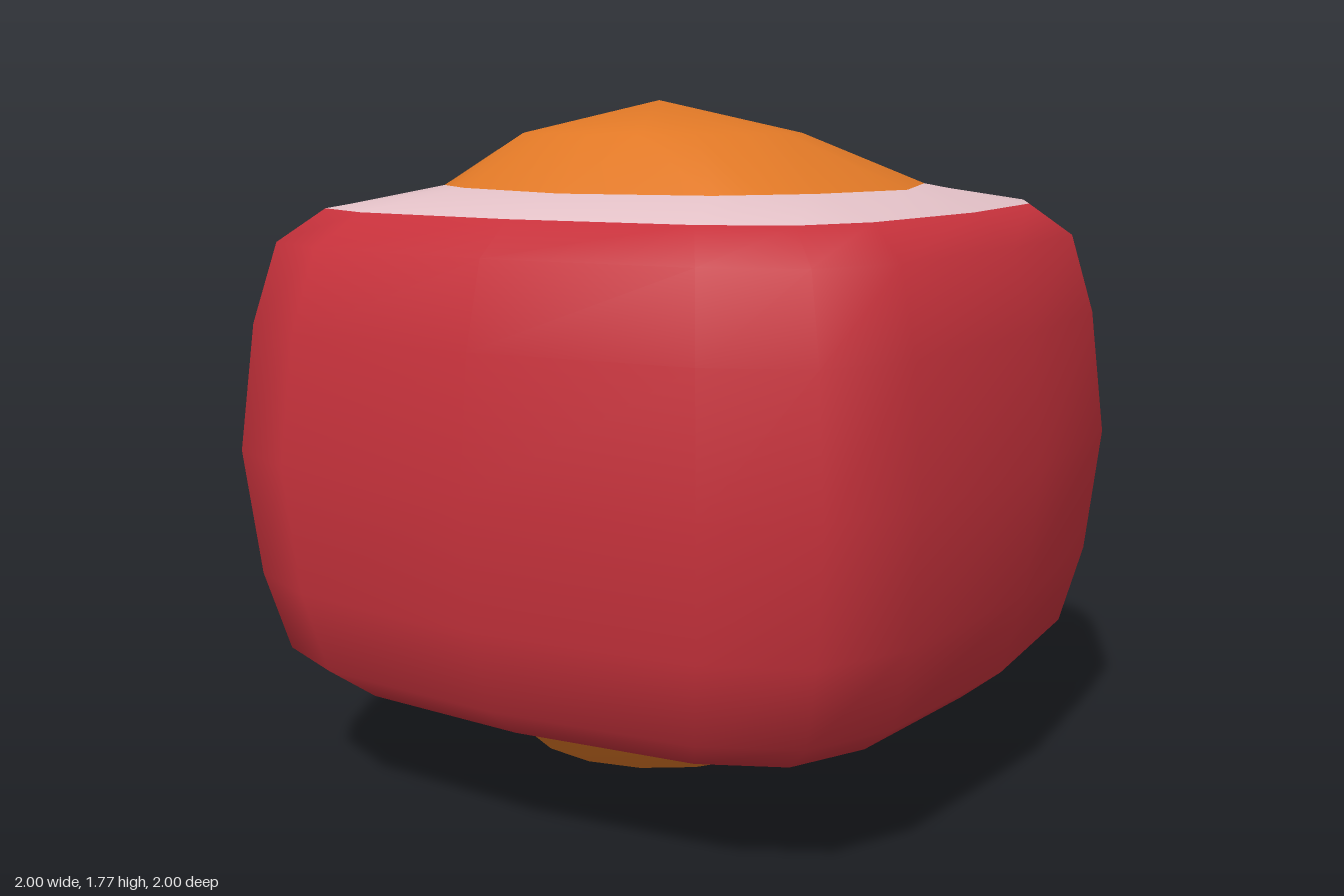
import * as THREE from 'three';
import { mergeVertices } from 'three/addons/utils/BufferGeometryUtils.js';

const MID = 0.883; // height of the widest ring
const SIDES = 16;

// Rounded square, starting at the front and turning toward +x
function squareRing(half, y) {
  const quarter = [[0, 1], [0.59, 0.95], [0.835, 0.835], [0.95, 0.59]];
  const ring = [];
  for (let q = 0; q < 4; q++) {
    for (let [x, z] of quarter) {
      for (let k = 0; k < q; k++) [x, z] = [z, -x];
      ring.push([x * half, y, z * half]);
    }
  }
  return ring;
}

// Round ring with an off-centre middle
function roundRing(radius, y, cx, cz) {
  return Array.from({ length: SIDES }, (_, i) => {
    const a = (i / SIDES) * Math.PI * 2;
    return [cx + Math.sin(a) * radius, y, cz + Math.cos(a) * radius];
  });
}

// Uneven edge where the filling meets the rice
const EDGE = [
  [0, 0.6], [0.37, 0.51], [0.45, 0.405], [0.53, 0.3],
  [0.62, -0.02], [0.49, -0.41], [0.41, -0.483], [0.33, -0.555],
  [0, -0.65], [-0.34, -0.55], [-0.425, -0.495], [-0.51, -0.44],
  [-0.62, -0.04], [-0.545, 0.35], [-0.468, 0.408], [-0.39, 0.465],
];
const edgeRing = (y) => EDGE.map(([x, z]) => [x, y, z]);

// Smooth skin over rings listed from bottom to top; slots gives the material of each band
function loft(rings, slots) {
  const geometry = new THREE.BufferGeometry();
  geometry.setAttribute('position', new THREE.Float32BufferAttribute(rings.flat(2), 3));
  const index = [];
  for (let r = 0; r < rings.length - 1; r++) {
    for (let i = 0; i < SIDES; i++) {
      const j = (i + 1) % SIDES;
      const a = r * SIDES + i, b = r * SIDES + j;
      index.push(a, b, b + SIDES, a, b + SIDES, a + SIDES);
    }
    if (slots) geometry.addGroup(r * SIDES * 6, SIDES * 6, slots[r]);
  }
  geometry.setIndex(index);
  const merged = mergeVertices(geometry);
  merged.computeVertexNormals();
  return merged;
}

export function createModel() {
  const group = new THREE.Group();
  const material = (name, color) => {
    const m = new THREE.MeshStandardMaterial({ color });
    m.name = name;
    return m;
  };
  const red = material('red wrap', 0xc8323c);
  const pink = material('pale rice', 0xe3c1c7);
  const orange = material('orange filling', 0xe07826);

  const add = (name, geometry, mat) => {
    const mesh = new THREE.Mesh(geometry, mat);
    mesh.name = name;
    group.add(mesh);
  };

  // Wrap with a rice border at both ends
  const profile = [[0.805, -0.613], [0.91, -0.53], [0.965, -0.325], [1, 0],
    [0.965, 0.325], [0.91, 0.53], [0.805, 0.613]];
  const rings = [
    edgeRing(MID - 0.663),
    ...profile.map(([half, dy]) => squareRing(half, MID + dy)),
    edgeRing(MID + 0.663),
  ];
  add('wrapAndRice', loft(rings, [1, 0, 0, 0, 0, 0, 0, 1]), [red, pink]);

  // Filling bulging out of the top and the bottom
  for (const side of [1, -1]) {
    const dome = [
      edgeRing(MID + side * 0.663),
      roundRing(0.365, MID + side * 0.8, -0.03, 0.09),
      roundRing(0, MID + side * 0.883, -0.03, 0.105),
    ];
    if (side < 0) dome.reverse();
    add(side > 0 ? 'topFilling' : 'bottomFilling', loft(dome), orange);
  }
  return group;
}
